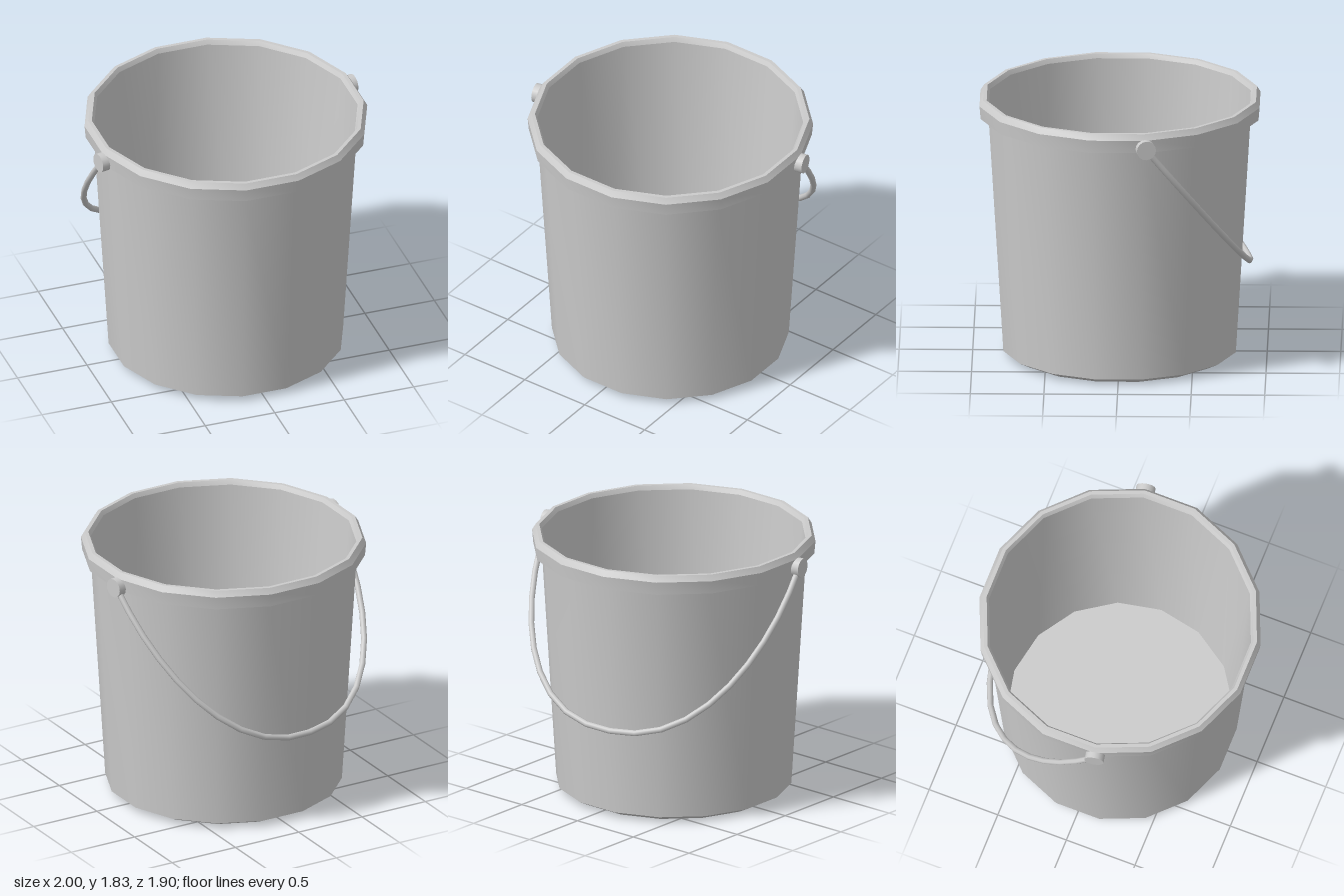
import * as THREE from 'three';
import { toCreasedNormals } from 'three/addons/utils/BufferGeometryUtils.js';

const SIDES = 16;
const STEP = Math.PI / SIDES; // half a facet
const material = new THREE.MeshStandardMaterial({ color: 0xcccccc });

function addMesh(parent, name, geometry) {
  const mesh = new THREE.Mesh(geometry, material);
  mesh.name = name;
  parent.add(mesh);
  return mesh;
}

// 16-sided lathe with facets facing the axes
function lathe(profile) {
  const points = profile.map(([r, y]) => new THREE.Vector2(r, y));
  return new THREE.LatheGeometry(points, SIDES, STEP);
}

const creased = (geometry) => toCreasedNormals(geometry, THREE.MathUtils.degToRad(32));

export function createModel() {
  const bucket = new THREE.Group();
  bucket.name = 'bucket';

  // Tapered outer wall with a chamfered base
  addMesh(bucket, 'outerWall', creased(lathe([[0, 0], [0.725, 0], [0.805, 0.04], [0.907, 1.71]])));

  // Overhanging rim with softened top edges
  addMesh(bucket, 'rim', creased(lathe([
    [0.9, 1.7], [0.962, 1.7], [0.97, 1.79], [0.945, 1.83], [0.92, 1.83], [0.903, 1.8],
  ])));

  // Inner wall and floor; the floor ring is turned by half a facet
  const inner = lathe([[0.903, 1.8], [0.77, 0.04], [0, 0.04]]);
  const pos = inner.attributes.position;
  const v = new THREE.Vector3();
  const up = new THREE.Vector3(0, 1, 0);
  for (let i = 0; i < pos.count; i++) {
    v.fromBufferAttribute(pos, i);
    if (v.y < 1) v.applyAxisAngle(up, STEP);
    pos.setXYZ(i, v.x, v.y, v.z);
  }
  addMesh(bucket, 'innerWall', creased(inner));

  // Handle assembly, turned so the pivots sit on rim corners
  const handle = new THREE.Group();
  handle.name = 'handle';
  handle.rotation.y = STEP;
  bucket.add(handle);

  // Bail hanging down behind the bucket
  const bail = [];
  for (let i = 0; i <= 16; i++) {
    const t = (i / 16) * Math.PI;
    const c = Math.cos(t);
    bail.push(new THREE.Vector3(
      Math.sign(c) * 0.98 * Math.abs(c) ** 0.87,
      1.73 - 1.08 * Math.sin(t),
      -0.875 * Math.sin(t),
    ));
  }
  addMesh(handle, 'bail', new THREE.TubeGeometry(new THREE.CatmullRomCurve3(bail), 20, 0.021, 8));

  // Round pivot caps at both ends
  for (const side of [-1, 1]) {
    const cap = new THREE.CylinderGeometry(0.066, 0.066, 0.06, 16);
    cap.rotateZ(Math.PI / 2);
    const mesh = addMesh(handle, side > 0 ? 'leftPivot' : 'rightPivot', cap);
    mesh.position.set(side * 0.977, 1.73, 0);
  }

  return bucket;
}
